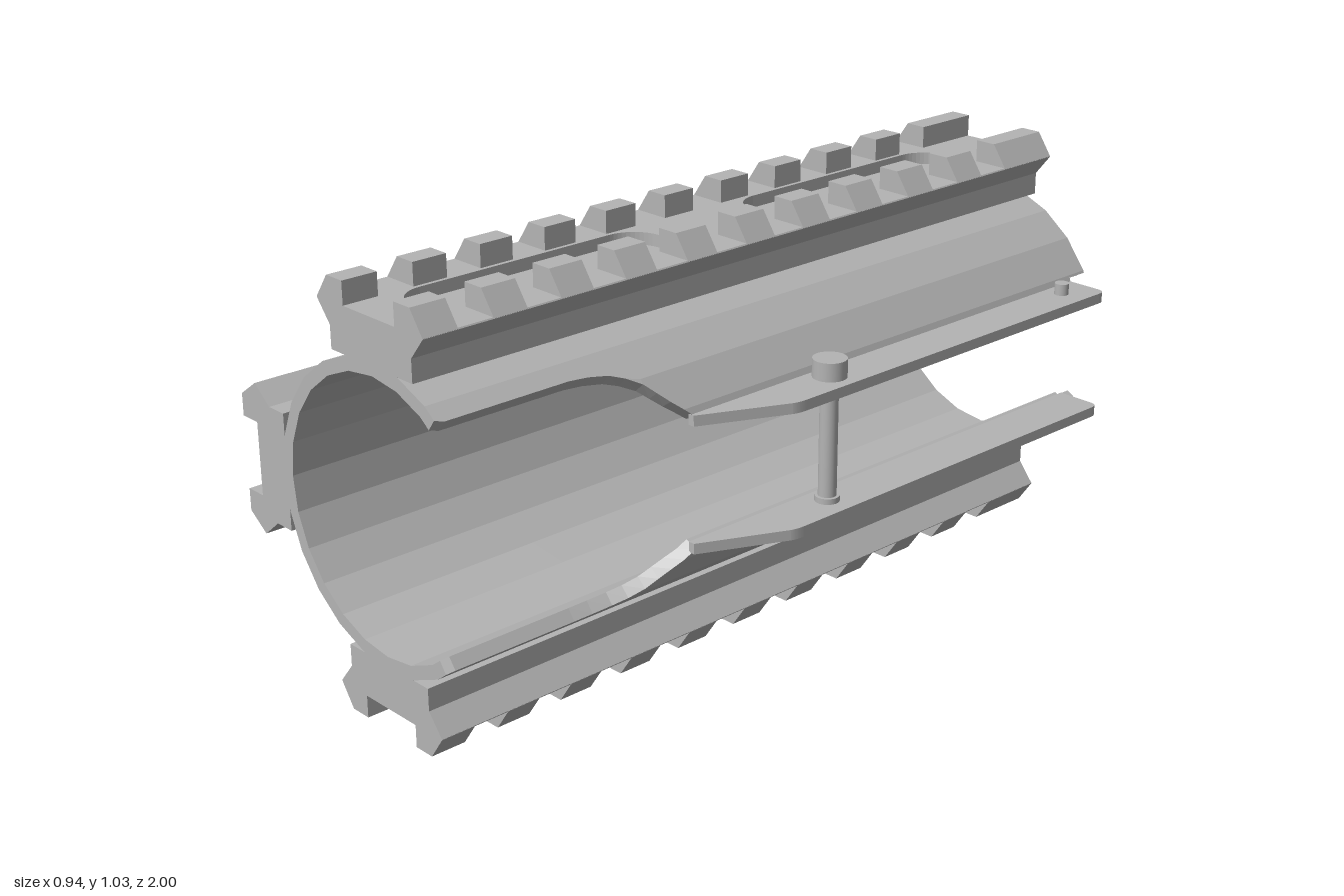
import * as THREE from 'three';

const CX = 0.04, CY = 0.515;          // tube axis
const R_OUT = 0.361, R_IN = 0.328, STEP = 15;

const metal = new THREE.MeshStandardMaterial({ color: 0xb4b4b4 });
metal.name = 'grey metal';

function addMesh(parent, geometry, name) {
  const mesh = new THREE.Mesh(geometry, metal);
  mesh.name = name;
  parent.add(mesh);
  return mesh;
}

function polygon(points) {
  return new THREE.Shape(points.map(([x, y]) => new THREE.Vector2(x, y)));
}

// Extrude a cross-section along z between two positions
function prism(points, z0, z1) {
  return new THREE.ExtrudeGeometry(polygon(points), { depth: z1 - z0, bevelEnabled: false }).translate(0, 0, z0);
}

// Faceted open tube: each row is [z, angle in degrees where the side opening starts]
function tubeGeometry() {
  const rows = [[-1, 29], [-0.941, 29], [-0.94, 26.5], [0.38, 26.5], [0.405, 30], [0.43, 34], [0.455, 38.5],
    [0.48, 43], [0.515, 47], [0.55, 50], [0.6, 51.8], [0.65, 52.6], [0.98, 52.6], [1, 54]];
  const n = 23, pos = [], index = [];
  const point = (deg, r, z) => {
    const half = STEP / 2, off = ((deg % STEP) + STEP) % STEP - half;
    const rr = r * Math.cos(half * Math.PI / 180) / Math.cos(off * Math.PI / 180); // stay on the facet
    const t = deg * Math.PI / 180;
    pos.push(rr * Math.cos(t), rr * Math.sin(t), z);
  };
  for (const [z, a] of rows) {
    const angles = [];
    for (let k = 1; k <= n; k++) angles.push(Math.min(Math.max(k * STEP, a), 360 - a));
    angles.forEach(d => point(d, R_OUT, z));
    angles.reverse().forEach(d => point(d, R_IN, z));
  }
  const m = 2 * n, last = (rows.length - 1) * m;
  for (let i = 0; i < rows.length - 1; i++) {
    for (let j = 0; j < m; j++) {
      const a = i * m + j, b = i * m + (j + 1) % m;
      index.push(a, b, b + m, a, b + m, a + m);
    }
  }
  // Ring-shaped end caps
  for (let j = 0; j < n - 1; j++) {
    const o = j, p = j + 1, q = m - 2 - j, r = m - 1 - j;
    index.push(last + o, last + p, last + q, last + o, last + q, last + r);
    index.push(o, q, p, o, r, q);
  }
  const g = new THREE.BufferGeometry();
  g.setAttribute('position', new THREE.Float32BufferAttribute(pos, 3));
  g.setIndex(index);
  const flat = g.toNonIndexed();
  flat.computeVertexNormals();
  return flat;
}

// Accessory rail in local axes: x across, y away from the tube, z along it
function createRail(name) {
  const rail = new THREE.Group();
  rail.name = name;
  const top = 0.46, floor = 0.43, inner = 0.1;
  const half = [[0.09, 0.335], [0.09, 0.35], [0.1425, 0.35], [0.1425, 0.405], [0.185, 0.457], [0.183, top], [inner, top], [inner, floor]];
  const profile = [...half, ...half.map(([x, y]) => [-x, y]).reverse()];
  addMesh(rail, prism(profile, -1, 1), 'railBody');

  // Middle plate with two rounded slots
  const plate = polygon([[-inner, -1], [inner, -1], [inner, 1], [-inner, 1]]);
  for (const c of [0.46, -0.54]) {
    const r = 0.08, s = 0.35 - r, slot = new THREE.Path();
    slot.absarc(0, c + s, r, 0, Math.PI, false);
    slot.absarc(0, c - s, r, Math.PI, 2 * Math.PI, false);
    slot.closePath();
    plate.holes.push(slot);
  }
  const plateGeo = new THREE.ExtrudeGeometry(plate, { depth: top - floor, bevelEnabled: false, curveSegments: 12 });
  addMesh(rail, plateGeo.rotateX(-Math.PI / 2).translate(0, floor, 0), 'slottedPlate');

  // Two rows of teeth, with a longer one at the back
  const tooth = [[0.09, 0.455], [0.183, 0.455], [0.185, 0.458], [0.145, 0.515], [0.09, 0.515]];
  const mirrored = tooth.map(([x, y]) => [-x, y]).reverse();
  const spans = [[-1, -0.82]];
  for (let k = 0; k < 10; k++) spans.push([0.91 - 0.182 * k, 1 - 0.182 * k]);
  for (const [z0, z1] of spans) {
    addMesh(rail, prism(tooth, z0, z1), 'railTooth');
    addMesh(rail, prism(mirrored, z0, z1), 'railTooth');
  }
  return rail;
}

// Clamp flange lying flat, with rounded back corner and tapered front
function flangeGeometry() {
  const s = new THREE.Shape();
  s.moveTo(0.35, -0.39);
  s.lineTo(0.367, -0.39);
  s.lineTo(0.464, -0.18);
  s.quadraticCurveTo(0.47, -0.165, 0.47, -0.14);
  s.lineTo(0.47, 0.915);
  s.quadraticCurveTo(0.47, 0.94, 0.445, 0.94);
  s.lineTo(0.35, 0.94);
  s.closePath();
  return new THREE.ExtrudeGeometry(s, { depth: 0.026, bevelEnabled: false }).rotateX(-Math.PI / 2);
}

export function createModel() {
  const model = new THREE.Group();
  model.name = 'railedClampTube';

  addMesh(model, tubeGeometry(), 'openTube').position.set(CX, CY, 0);

  // Rails on top, side and bottom
  ['topRail', 'sideRail', 'bottomRail'].forEach((name, i) => {
    const rail = createRail(name);
    rail.position.set(CX, CY, 0);
    rail.rotation.z = i * Math.PI / 2;
    model.add(rail);
  });

  // Flanges along the opening
  addMesh(model, flangeGeometry(), 'upperFlange').position.y = 0.655;
  addMesh(model, flangeGeometry(), 'lowerFlange').position.y = 0.347;

  // Upright cylinders: clamp bolt, nut and locating pins
  const rod = (name, r, y0, y1, z, sides = 24) =>
    addMesh(model, new THREE.CylinderGeometry(r, r, y1 - y0, sides), name).position.set(0.404, (y0 + y1) / 2, z);
  rod('boltHead', 0.041, 0.675, 0.726, 0);
  rod('boltShaft', 0.022, 0.35, 0.68, 0);
  rod('boltCollar', 0.03, 0.365, 0.387, 0);
  rod('boltNut', 0.03, 0.331, 0.35, 0);
  rod('boltTip', 0.02, 0.317, 0.335, 0);
  rod('upperPin', 0.018, 0.675, 0.71, -0.845);
  rod('lowerPin', 0.018, 0.32, 0.35, -0.845);

  return model;
}
